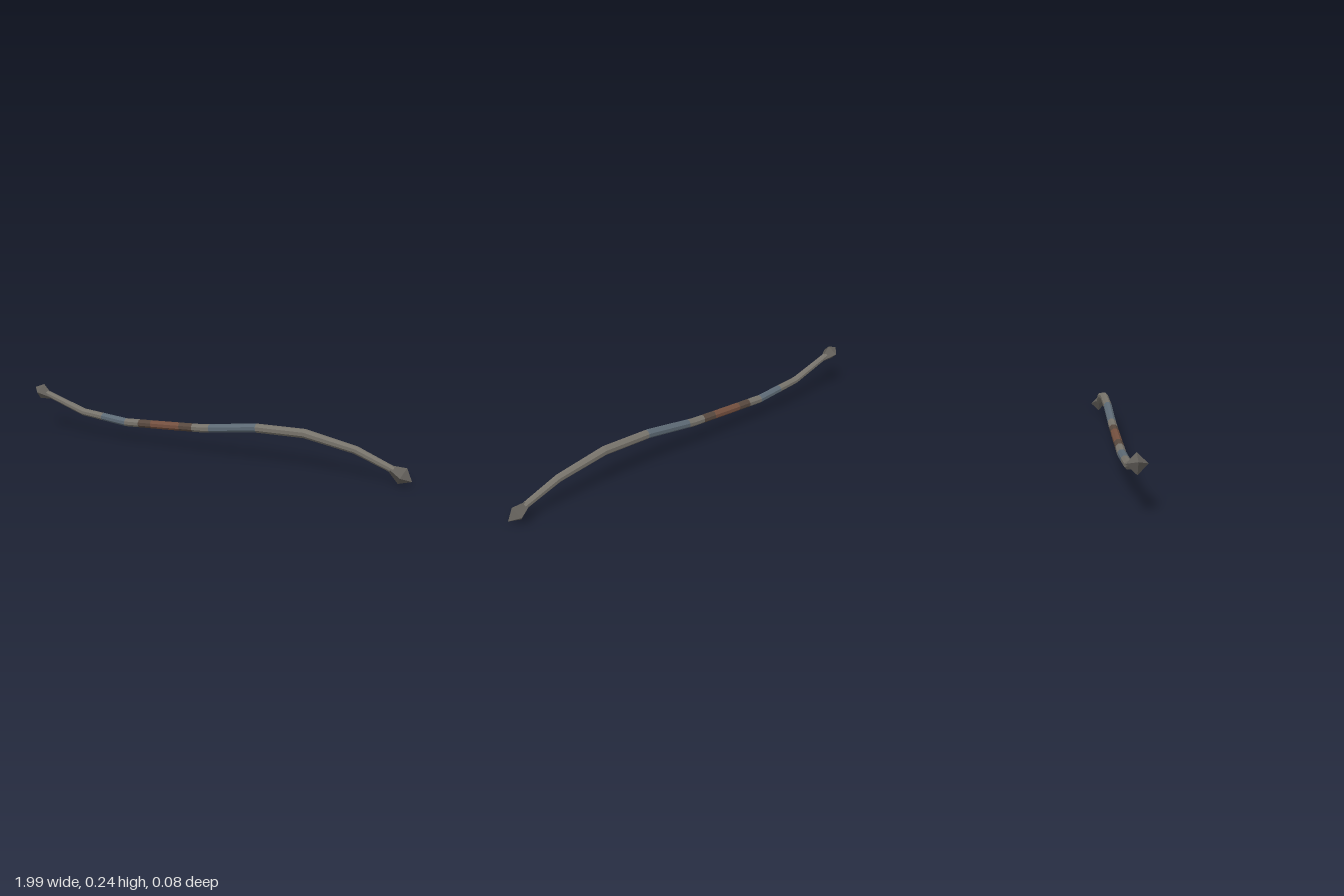
import * as THREE from 'three';

const SIDES = 8;
// shaft stations: x, y, radius
const STATIONS = [
  [-0.92, 0.197, 0.016], [-0.69, 0.125, 0.018], [-0.43, 0.102, 0.02], [-0.2, 0.114, 0.02], [0.01, 0.126, 0.02],
  [0.27, 0.162, 0.021], [0.51, 0.167, 0.021], [0.745, 0.125, 0.018], [0.93, 0.054, 0.015],
];

// ring of points around the shaft at a station, square to the bend
function stationRing(i) {
  const [x, y, r] = STATIONS[i];
  const a = STATIONS[Math.max(i - 1, 0)], b = STATIONS[Math.min(i + 1, STATIONS.length - 1)];
  const t = Math.atan2(b[1] - a[1], b[0] - a[0]);
  return Array.from({ length: SIDES }, (_, k) => {
    const p = ((k + 0.5) / SIDES) * Math.PI * 2;
    const up = Math.cos(p) * r;
    return new THREE.Vector3(x - Math.sin(t) * up, y + Math.cos(t) * up, Math.sin(p) * r);
  });
}

// ring at any x, blended from the two nearest stations
function ringAt(x) {
  let i = 0;
  while (i < STATIONS.length - 2 && x > STATIONS[i + 1][0]) i++;
  const f = (x - STATIONS[i][0]) / (STATIONS[i + 1][0] - STATIONS[i][0]);
  const next = stationRing(i + 1);
  return stationRing(i).map((p, k) => p.lerp(next[k], f));
}

// stretch of shaft between two x values
function shaftGeometry(x0, x1) {
  const xs = [x0, ...STATIONS.map((s) => s[0]).filter((x) => x > x0 + 1e-4 && x < x1 - 1e-4), x1];
  const rings = xs.map(ringAt);
  const points = [];
  for (let i = 0; i < rings.length - 1; i++) {
    for (let k = 0; k < SIDES; k++) {
      const n = (k + 1) % SIDES;
      const a = rings[i][k], b = rings[i][n], c = rings[i + 1][n], d = rings[i + 1][k];
      points.push(a, b, c, a, c, d);
    }
  }
  const geometry = new THREE.BufferGeometry().setFromPoints(points);
  geometry.computeVertexNormals();
  return geometry;
}

export function createModel() {
  const group = new THREE.Group();
  const material = (name, color) => {
    const m = new THREE.MeshStandardMaterial({ color });
    m.name = name;
    return m;
  };
  const grey = material('worn grey', 0x77736b);
  const blue = material('slate blue', 0x5d6a75);
  const brown = material('rust brown', 0x74503f);
  const dark = material('dark brown', 0x58493f);
  const tipGrey = material('tip grey', 0x625f5a);

  const add = (name, geometry, mat) => {
    const mesh = new THREE.Mesh(geometry, mat);
    mesh.name = name;
    group.add(mesh);
    return mesh;
  };

  // shaft, grip and coloured bands
  [
    ['rightShaft', -0.92, -0.57, grey],
    ['rightBand', -0.57, -0.43, blue],
    ['rightCollar', -0.43, -0.35, grey],
    ['gripRightEnd', -0.35, -0.28, dark],
    ['grip', -0.28, -0.12, brown],
    ['gripLeftEnd', -0.12, -0.05, dark],
    ['leftCollar', -0.05, 0.04, grey],
    ['leftBand', 0.04, 0.28, blue],
    ['leftShaft', 0.28, 0.93, grey],
  ].forEach(([name, x0, x1, mat]) => add(name, shaftGeometry(x0, x1), mat));

  // four-sided pointed tips
  const profile = [[0, -0.056], [0.017, -0.056], [0.041, 0], [0, 0.046]].map(([x, y]) => new THREE.Vector2(x, y));
  [['rightTip', -0.956, 0.206, -0.92, 0.37], ['leftTip', 0.95, 0.041, 0.9, -0.42]].forEach(([name, x, y, dx, dy]) => {
    const geometry = new THREE.LatheGeometry(profile, 4).toNonIndexed();
    geometry.computeVertexNormals();
    const tip = add(name, geometry, tipGrey);
    tip.position.set(x, y, 0);
    tip.rotation.z = Math.atan2(dy, dx) - Math.PI / 2;
  });

  return group;
}
